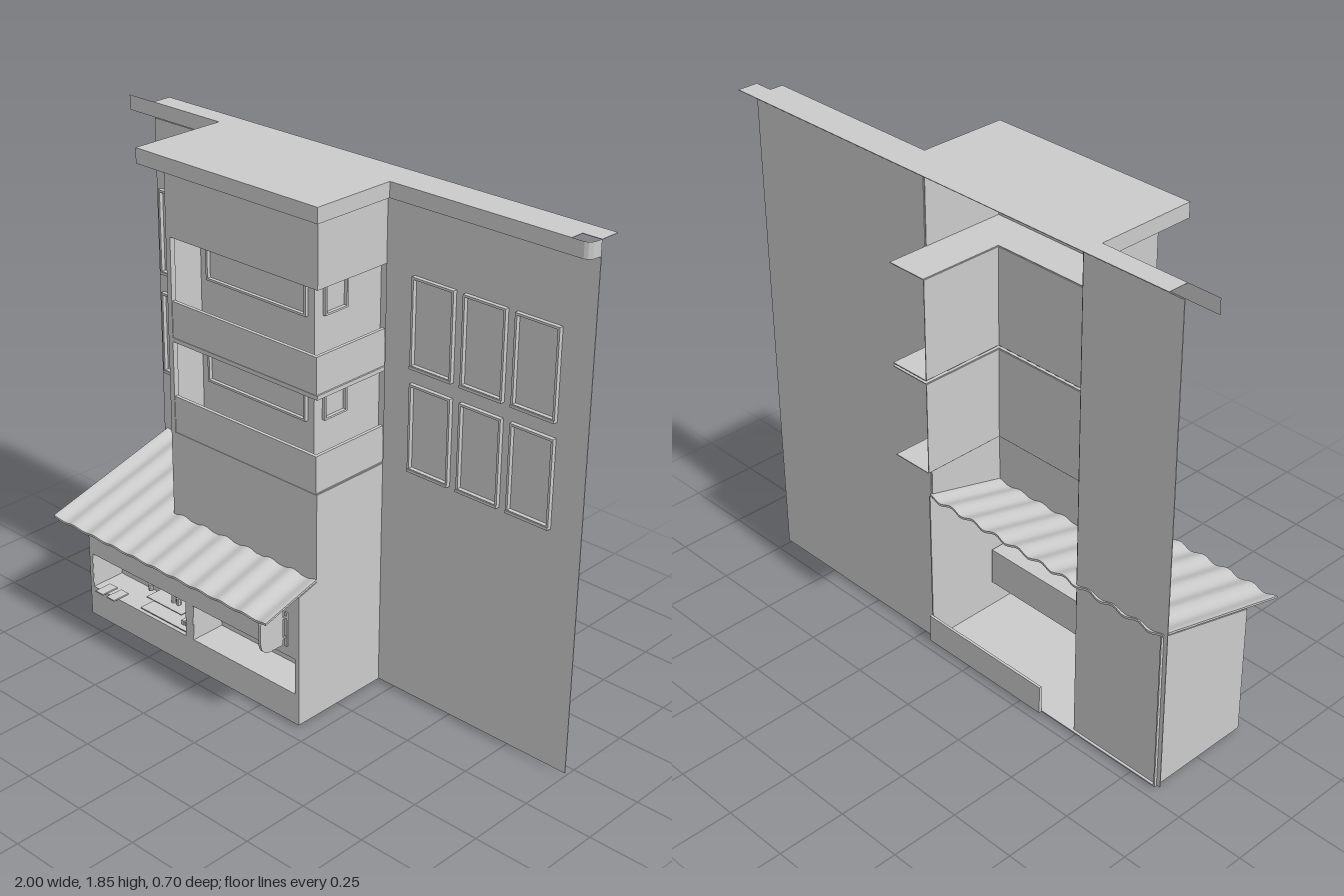
import * as THREE from 'three';

const mat = new THREE.MeshStandardMaterial({ color: 0xcccccc, flatShading: true, side: THREE.DoubleSide });
const outerMat = new THREE.MeshStandardMaterial({ color: 0xcccccc, flatShading: true });

export function createModel() {
  const root = new THREE.Group();
  const add = (name, geo, parent = root, m = mat) => {
    const mesh = new THREE.Mesh(geo, m);
    mesh.name = name;
    parent.add(mesh);
    return mesh;
  };
  const group = (name) => {
    const g = new THREE.Group();
    g.name = name;
    root.add(g);
    return g;
  };
  // Box given by its limits
  const box = (name, x0, x1, y0, y1, z0, z1, parent) => {
    const g = new THREE.BoxGeometry(x1 - x0, y1 - y0, z1 - z0);
    g.translate((x0 + x1) / 2, (y0 + y1) / 2, (z0 + z1) / 2);
    return add(name, g, parent);
  };
  const rectPath = (C, x0, x1, y0, y1) => {
    const s = new C();
    s.moveTo(x0, y0).lineTo(x1, y0).lineTo(x1, y1).lineTo(x0, y1).closePath();
    return s;
  };
  // Upright plate in x, y with rectangular holes
  const plate = (x0, x1, y0, y1, z, depth, holes) => {
    const s = rectPath(THREE.Shape, x0, x1, y0, y1);
    holes.forEach((h) => s.holes.push(rectPath(THREE.Path, ...h)));
    return new THREE.ExtrudeGeometry(s, { depth, bevelEnabled: false }).translate(0, 0, z);
  };
  // Upright sheet following a path of [x, z]; the front is right of travel
  const strip = (name, path, y0, y1, m, parent) => {
    const pos = [];
    for (let i = 0; i < path.length - 1; i++) {
      const [[ax, az], [bx, bz]] = [path[i], path[i + 1]];
      pos.push(ax, y0, az, bx, y0, bz, bx, y1, bz, ax, y0, az, bx, y1, bz, ax, y1, az);
    }
    const g = new THREE.BufferGeometry();
    g.setAttribute('position', new THREE.Float32BufferAttribute(pos, 3));
    g.computeVertexNormals();
    add(name, g, parent, m);
  };
  // Flat level sheet from [x, z] corners
  const sheet = (name, pts, y, t, parent) => {
    const s = new THREE.Shape(pts.map(([x, z]) => new THREE.Vector2(x, -z)));
    const g = new THREE.ExtrudeGeometry(s, { depth: t, bevelEnabled: false });
    add(name, g.rotateX(-Math.PI / 2).translate(0, y - t, 0), parent);
  };

  // Back walls
  box('leftWall', -0.875, -0.49, 0.012, 1.795, -0.203, -0.2);
  box('rightWall', 0.19, 1, 0.012, 1.795, -0.203, -0.2);

  // Framed wall windows
  const windows = group('wallWindows');
  const wallWindow = (x0, x1, y0, y1) => {
    const b = 0.008;
    add('windowFrame', plate(x0, x1, y0, y1, -0.2, 0.015, [[x0 + b, x1 - b, y0 + b, y1 - b]]), windows);
    box('windowSill', x0, x1, y0 - 0.004, y0 + 0.006, -0.2, -0.182, windows);
  };
  for (const [x0, x1] of [[-0.855, -0.69], [-0.675, -0.508]]) {
    wallWindow(x0, x1, 1.238, 1.547);
    wallWindow(x0, x1, 0.857, 1.163);
  }
  for (const [x0, x1] of [[0.307, 0.477], [0.513, 0.68], [0.715, 0.883]]) {
    wallWindow(x0, x1, 1.238, 1.547);
    wallWindow(x0, x1, 0.873, 1.18);
  }

  // Projecting tower, hollow and open at the back
  const tower = group('tower');
  for (const [y0, y1] of [[0.53, 0.85], [1.185, 1.2], [1.555, 1.797]]) {
    box('towerFrontBand', -0.49, 0.19, y0, y1, 0.111, 0.115, tower);
    box('towerSideBand', 0.186, 0.19, y0, y1, -0.2, 0.115, tower);
  }
  box('towerPost', -0.49, -0.47, 0.85, 1.555, 0.095, 0.115, tower);
  box('towerLeftSide', -0.49, -0.486, 0.53, 1.797, -0.2, 0.115, tower);

  // Corner balconies: floors, ceiling, parapets, inner walls and windows
  const L = [[-0.486, 0.113], [0.188, 0.113], [0.188, -0.35], [0.035, -0.35], [0.035, -0.035], [-0.486, -0.035]];
  sheet('balconyFloor', L, 0.853, 0.003, tower);
  sheet('balconyFloor', L, 1.2, 0.003, tower);
  sheet('balconyCeiling', L, 1.188, 0.003, tower);
  sheet('balconyCeiling', L, 1.558, 0.003, tower);
  for (const [y0, y1, par] of [[0.853, 1.185, 0.985], [1.2, 1.555, 1.33]]) {
    box('parapetFront', -0.47, 0.184, y0, par, 0.1, 0.113, tower);
    box('parapetSide', 0.172, 0.184, y0, par, -0.205, 0.113, tower);
    box('balconyBackWall', -0.486, 0.035, y0, y1, -0.038, -0.035, tower);
    box('balconySideWall', 0.032, 0.035, y0, y1, -0.35, -0.035, tower);
    strip('balconyEndWall', [[0.035, -0.35], [0.19, -0.35]], y0, y1, outerMat, tower);
    const w0 = y1 - 0.183, w1 = y1 - 0.04;
    const frame = plate(-0.45, 0.007, w0, w1, -0.035, 0.013, [[-0.442, -0.001, w0 + 0.008, w1 - 0.008]]);
    add('balconyWindowFrame', frame, tower);
    const side = plate(0.073, 0.18, w0, w1, 0, 0.013, [[0.08, 0.173, w0 + 0.007, w1 - 0.007]]);
    add('sideWindowFrame', side.rotateY(Math.PI / 2).translate(0.035, 0, 0), tower);
  }

  // Roof sheet with fascia that rounds the right end
  const roof = group('roof');
  sheet('roofTop', [[-0.88, -0.275], [1, -0.275], [1, -0.2], [0.93, -0.2], [0.93, -0.15], [0.24, -0.15],
    [0.24, 0.17], [-0.56, 0.17], [-0.56, -0.2], [-0.88, -0.2]], 1.85, 0.002, roof);
  strip('leftFascia', [[-1, -0.2], [-0.56, -0.2]], 1.797, 1.85, mat, roof);
  strip('fascia', [[-0.56, -0.2], [-0.56, 0.17], [0.24, 0.17], [0.24, -0.15], [0.975, -0.15],
    [0.987, -0.155], [0.996, -0.168], [1, -0.2]], 1.797, 1.85, outerMat, roof);

  // Shop stall under the tower
  const stall = group('stall');
  const displays = [[-0.845, -0.355], [-0.318, 0.173]];
  add('stallFront', plate(-0.86, 0.19, 0.015, 0.505, 0.193, 0.005,
    displays.map(([a, b]) => [a, b, 0.127, 0.263])), stall);
  box('stallFloor', -0.86, 0.19, 0.01, 0.015, -0.213, 0.198, stall);
  box('backSkirting', -0.35, 0.19, 0.012, 0.12, -0.225, -0.215, stall);
  const side = new THREE.Shape([[-0.213, 0.015], [0.198, 0.015], [0.198, 0.505], [-0.213, 0.617]]
    .map(([z, y]) => new THREE.Vector2(z, y)));
  for (const x of [0.19, -0.855]) {
    const g = new THREE.ExtrudeGeometry(side, { depth: 0.005, bevelEnabled: false });
    add('stallSide', g.rotateY(-Math.PI / 2).translate(x, 0, 0), stall);
  }
  for (const [a, b] of displays) {
    box('displayBack', a, b, 0.125, 0.265, 0.06, 0.063, stall);
    box('displayBase', a, b, 0.124, 0.127, 0.06, 0.197, stall);
    box('displayTop', a, b, 0.263, 0.266, 0.06, 0.197, stall);
    for (const x of [a, b]) box('displayEnd', x - 0.0015, x + 0.0015, 0.125, 0.265, 0.06, 0.197, stall);
  }

  // Goods on small shelves in the left display
  const goods = group('goods');
  box('upperShelf', -0.7, -0.357, 0.206, 0.21, 0.07, 0.13, goods);
  box('lowerShelf', -0.6, -0.357, 0.133, 0.137, 0.07, 0.19, goods);
  box('shelfStep', -0.6, -0.42, 0.165, 0.169, 0.07, 0.16, goods);
  for (const x of [-0.66, -0.54, -0.49]) box('carton', x - 0.016, x + 0.016, 0.21, 0.227, 0.08, 0.11, goods);
  for (const x of [-0.62, -0.5, -0.475]) {
    add('jar', new THREE.CylinderGeometry(0.009, 0.009, 0.026, 8).translate(x, 0.183, 0.12), goods);
  }
  for (let r = 0; r < 3; r++) {
    for (let c = 0; c < 3; c++) {
      const x = -0.41 + c * 0.018, y = 0.14 + r * 0.02;
      box('smallBox', x, x + 0.014, y, y + 0.016, 0.1, 0.17 - r * 0.02, goods);
    }
  }
  for (const x of [-0.79, -0.73]) box('tray', x - 0.02, x + 0.02, 0.127, 0.132, 0.15, 0.22, goods);

  // Low pads under the stall
  for (const [a, b] of [[-0.83, -0.72], [-0.6, -0.485], [-0.47, -0.36]]) {
    box('footPad', a, b, 0, 0.01, 0.048, 0.06, stall);
  }

  // Corrugated awning, waves along x on a sloping slab
  const awning = new THREE.BoxGeometry(1.05, 0.008, 0.56, 100, 1, 1);
  const p = awning.attributes.position;
  for (let i = 0; i < p.count; i++) {
    const x = p.getX(i), z = p.getZ(i);
    const wave = 0.005 * Math.cos((x / 1.05) * Math.PI * 20);
    p.setXYZ(i, x - 0.335, p.getY(i) + 0.542 - z * 0.27 + wave, z + 0.068 + wave * 0.6);
  }
  awning.computeVertexNormals();
  add('awning', awning);

  // Hanging sign with rounded lower corners, and its bracket
  const sign = new THREE.Shape();
  sign.moveTo(0.22, 0.315).lineTo(0.28, 0.315).quadraticCurveTo(0.325, 0.32, 0.325, 0.37)
    .lineTo(0.325, 0.43).quadraticCurveTo(0.325, 0.445, 0.31, 0.445).lineTo(0.22, 0.445).closePath();
  const signGeo = new THREE.ExtrudeGeometry(sign, { depth: 0.01, bevelEnabled: false, curveSegments: 6 });
  add('hangingSign', signGeo.rotateY(-Math.PI / 2).translate(0.14, 0, 0));
  for (const y of [0.335, 0.41]) box('signBracket', 0.132, 0.138, y, y + 0.006, 0.195, 0.222);
  box('signMount', 0.13, 0.14, 0.3, 0.43, 0.197, 0.203);

  return root;
}
